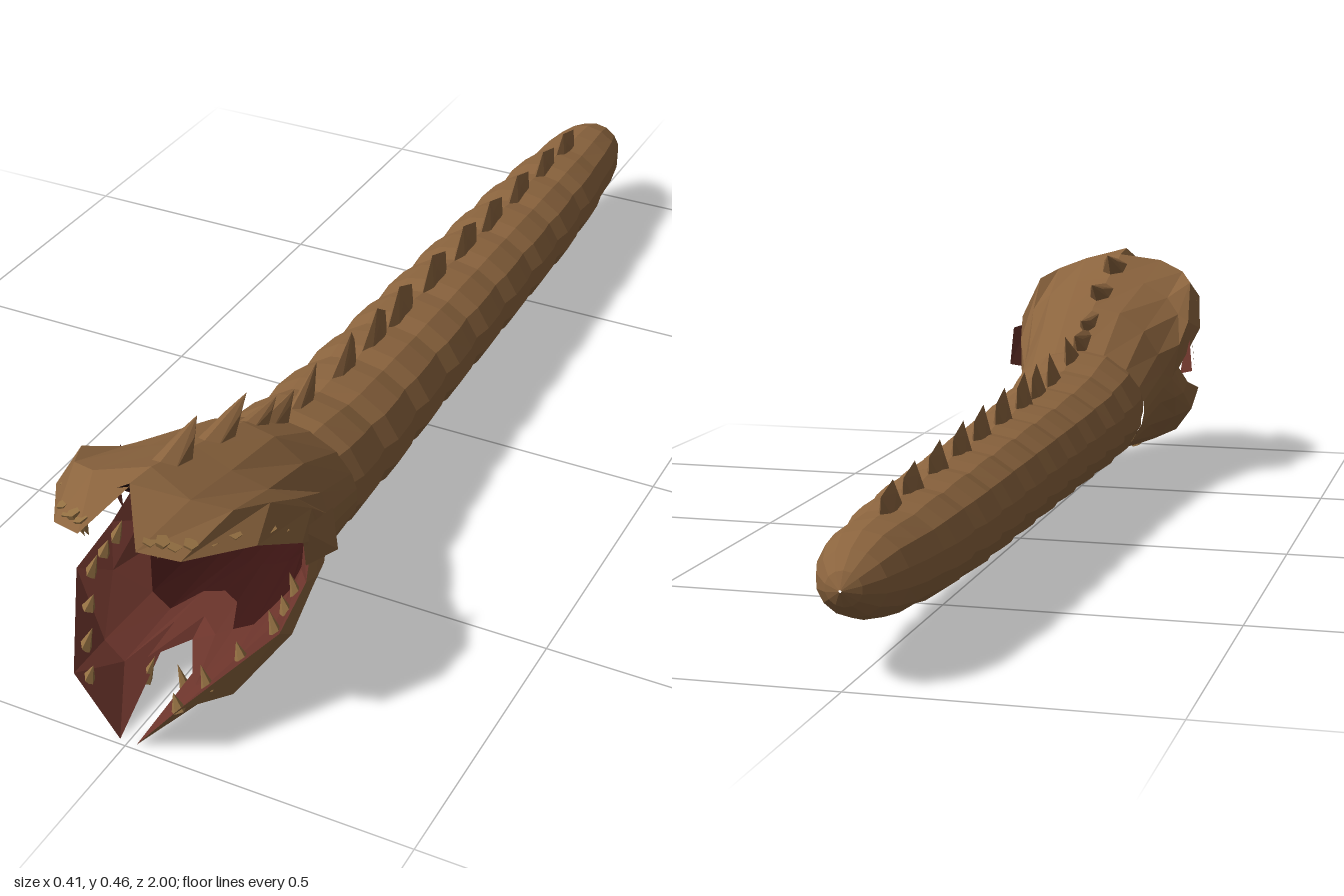
import * as THREE from 'three';
import { ConvexGeometry } from 'three/addons/geometries/ConvexGeometry.js';

const V = (x, y, z) => new THREE.Vector3(x, y, z);

function material(name, color) {
  const m = new THREE.MeshStandardMaterial({ color });
  m.name = name;
  return m;
}

// Faceted mesh from a list of triangle corners
function facets(name, points, mat) {
  const geo = new THREE.BufferGeometry().setFromPoints(points);
  geo.computeVertexNormals();
  const mesh = new THREE.Mesh(geo, mat);
  mesh.name = name;
  return mesh;
}

// Skin a closed ring of columns, each a list of points; keep(row, col) picks faces
function skin(columns, keep = () => true) {
  const out = [];
  columns.forEach((a, c) => {
    const b = columns[(c + 1) % columns.length];
    for (let r = 0; r < a.length - 1; r++) {
      if (keep(r, c)) out.push(a[r], a[r + 1], b[r], b[r], a[r + 1], b[r + 1]);
    }
  });
  return out;
}

// Body outline: z, half width, bottom, top
const OUTLINE = [
  [-0.9, 0.073, 0.08, 0.216], [-0.78, 0.092, 0.063, 0.224], [-0.55, 0.107, 0.055, 0.234],
  [0.1, 0.123, 0.053, 0.252], [0.3, 0.133, 0.052, 0.265], [0.56, 0.142, 0.055, 0.31],
];
// Head crown heights: z, y
const CROWN = [[0.47, 0.288], [0.6, 0.364], [0.75, 0.411], [0.87, 0.45]];

// Read a table of rows sorted by z
function sample(table, z) {
  let i = 0;
  while (i < table.length - 2 && z > table[i + 1][0]) i++;
  const a = table[i], b = table[i + 1], t = (z - a[0]) / (b[0] - a[0]);
  return a.map((v, k) => v + (b[k] - v) * t);
}

function makeBody(mat) {
  // Rounded tail, then swollen segments pinched at each seam
  const rows = [[-1, 0.03], [-0.985, 0.4], [-0.95, 0.76], [-0.9, 1], [-0.84, 1.01]];
  for (let i = 0; i < 10; i++) {
    const seam = -0.77 + i * 0.139;
    rows.push([seam, 0.95]);
    if (i < 9) rows.push([seam + 0.04, 1.01], [seam + 0.1, 1.02]);
  }
  rows.push([0.54, 0.88]);
  const columns = [], sides = 14;
  for (let c = 0; c < sides; c++) {
    const a = (c / sides) * Math.PI * 2;
    columns.push(rows.map(([z, s]) => {
      const [, w, lo, hi] = sample(OUTLINE, Math.max(z, -0.9));
      return V(Math.sin(a) * w * s, (lo + hi) / 2 + Math.cos(a) * ((hi - lo) / 2) * s, z);
    }));
  }
  return facets('segmentedBody', skin(columns), mat);
}

// Half head, crown to chin: angle around the neck, jaw point, lip point
const JAW = [
  [0, [0, 0.45, 0.87], [0, 0.458, 0.93]],
  [22, [0.085, 0.436, 0.9], [0.05, 0.397, 1]],
  [46, [0.14, 0.415, 0.87], [0.11, 0.382, 0.975]],
  [67, [0.168, 0.398, 0.81], [0.178, 0.362, 0.87]],
  [82, [0.183, 0.325, 0.71], [0.198, 0.304, 0.77]],
  [93, [0.166, 0.225, 0.66], [0.168, 0.228, 0.69]],
  [105, [0.178, 0.175, 0.69], [0.18, 0.192, 0.73]],
  [125, [0.18, 0.125, 0.78], [0.186, 0.165, 0.83]],
  [142, [0.128, 0.06, 0.88], [0.095, 0.1, 0.985]],
  [157, [0.078, 0.035, 0.89], [0.015, 0, 0.99]],
  [169, [0.045, 0.047, 0.78], [0.042, 0.055, 0.86]],
  [180, [0, 0.05, 0.75], [0, 0.055, 0.79]],
];

function headColumn([degrees, jawPoint, lipPoint]) {
  const a = THREE.MathUtils.degToRad(degrees), jaw = V(...jawPoint);
  const neck = V(Math.sin(a) * 0.138, 0.172 + Math.cos(a) * 0.116, 0.47);
  const nape = V(Math.sin(a) * 0.152, 0.207 + Math.cos(a) * 0.157, 0.6);
  const cheek = nape.clone().lerp(jaw, 0.55);
  cheek.x *= 1.03;
  // The lining follows the outside back down into the throat
  const inward = (p, s) => V(p.x * s, 0.2 + (p.y - 0.2) * s, p.z);
  return [
    neck, nape, cheek, jaw, V(...lipPoint),
    inward(jaw, 0.84), inward(cheek, 0.82), inward(nape, 0.8), inward(neck, 0.82), V(0, 0.17, 0.44),
  ];
}

function makeHead(mats) {
  const half = JAW.map(headColumn);
  const n = half.length - 1;
  const mirrored = half.slice(1, n).reverse().map((col) => col.map((p) => V(-p.x, p.y, p.z)));
  const columns = [...half, ...mirrored];
  // Lining rows run from the lip (4) to the back of the throat (8)
  const lining = (r, c) => {
    const fromCrown = Math.min(c, 2 * n - 1 - c);
    if (r < 4) return 'hide';
    if (r < 7 && (fromCrown < 3 || (r === 6 && fromCrown < 5))) return 'palate';
    return r < 6 ? 'flesh' : 'throat';
  };
  const group = new THREE.Group();
  group.name = 'head';
  for (const part of ['hide', 'palate', 'flesh', 'throat']) {
    group.add(facets(part + 'OfHead', skin(columns, (r, c) => lining(r, c) === part), mats[part]));
  }
  return group;
}

// Cheek flap flaring back beside each mouth corner, hide outside and flesh inside
function makeCheek(side, mats) {
  const p = [[0.184, 0.306, 0.745], [0.198, 0.305, 0.67], [0.206, 0.225, 0.67], [0.172, 0.212, 0.715]]
    .map(([x, y, z]) => V(x * side, y, z));
  const inner = p.map((q) => V(q.x - side * 0.006, q.y, q.z));
  const quad = (q, flip) => (flip ? [q[0], q[2], q[1], q[0], q[3], q[2]] : [q[0], q[1], q[2], q[0], q[2], q[3]]);
  const group = new THREE.Group();
  group.name = side > 0 ? 'leftCheekFlap' : 'rightCheekFlap';
  group.add(facets('flapHide', quad(p, side > 0), mats.hide));
  group.add(facets('flapFlesh', quad(inner, side < 0), mats.flesh));
  return group;
}

// Pair of teeth rooted inside the lip at a place counted in jaw columns
function addTeeth(group, name, place, length, up, mat) {
  const c = Math.floor(place);
  const root = V(...JAW[c][2]).lerp(V(...JAW[c + 1][2]), place - c);
  for (const side of [1, -1]) {
    const geo = new THREE.ConeGeometry(0.012, length, 5).toNonIndexed();
    geo.computeVertexNormals();
    const tooth = new THREE.Mesh(geo, mat);
    tooth.name = name;
    const dir = V(-0.35 * side, up, -0.1).normalize();
    tooth.quaternion.setFromUnitVectors(V(0, 1, 0), dir);
    tooth.position.set(root.x * 0.9 * side, root.y, root.z - 0.02).addScaledVector(dir, length * 0.1);
    group.add(tooth);
  }
}

function makeTeeth(mat) {
  const group = new THREE.Group();
  group.name = 'teeth';
  for (let i = 0; i < 9; i++) addTeeth(group, 'upperTooth', 1.2 + i * 0.3, i % 2 ? 0.045 : 0.032, -1, mat);
  for (let i = 0; i < 6; i++) addTeeth(group, 'lowerTooth', 6.3 + i * 0.36, i % 2 ? 0.032 : 0.045, 1, mat);
  addTeeth(group, 'chinTooth', 9.75, 0.055, 1, mat);
  return group;
}

// Narrow blade standing on the back, its foot following the slope
function makeSpine(front, back, tipZ, tipY, w, mat) {
  const foot = (t, x) => {
    const z = front + (back - front) * t;
    return V(x, (z > 0.47 ? sample(CROWN, z)[1] : sample(OUTLINE, z)[3]) - 0.012, z);
  };
  const points = [foot(0, 0), foot(1, 0), V(0, tipY, tipZ)];
  for (const x of [w, -w]) {
    const shoulder = foot(0.5, x * 0.6).lerp(V(x * 0.6, tipY, tipZ), 0.6);
    points.push(foot(0.25, x), foot(0.75, x), shoulder);
  }
  // Blunt rear shoulder on the spines that stand upright
  if (tipZ > back) points.push(V(0, foot(1, 0).y * 0.3 + tipY * 0.7, back + 0.006));
  const spine = new THREE.Mesh(new ConvexGeometry(points), mat);
  spine.name = 'spine';
  return spine;
}

function makeSpines(mat) {
  const group = new THREE.Group();
  group.name = 'backSpines';
  // Swept spines on the head and neck
  const swept = [
    [0.87, 0.77, 0.735, 0.46, 0.024], [0.75, 0.64, 0.585, 0.412, 0.022],
    [0.63, 0.53, 0.49, 0.348, 0.018], [0.56, 0.46, 0.43, 0.325, 0.016],
  ];
  for (const s of swept) group.add(makeSpine(...s, mat));
  // Upright spines along the body, lower toward the tail
  for (const z of [0.35, 0.22, 0.12, 0.03, -0.11, -0.25, -0.375, -0.51, -0.645, -0.755]) {
    const front = z + 0.045 + Math.max(z, 0) * 0.22;
    const tipY = sample(OUTLINE, z)[3] + 0.06 + Math.min(z, 0) * 0.03;
    group.add(makeSpine(front, front - 0.11, z, tipY, 0.012, mat));
  }
  return group;
}

export function createModel() {
  const mats = {
    hide: material('brown hide', 0x8b643e),
    tooth: material('tan tooth', 0x957143),
    flesh: material('red flesh', 0x6b342b),
    throat: material('dark red throat', 0x3a1412),
    palate: material('dark palate', 0x2a0d0d),
  };
  const model = new THREE.Group();
  model.name = 'burrowingWorm';
  model.add(makeBody(mats.hide), makeHead(mats), makeTeeth(mats.tooth), makeSpines(mats.hide));
  model.add(makeCheek(1, mats), makeCheek(-1, mats));
  return model;
}
